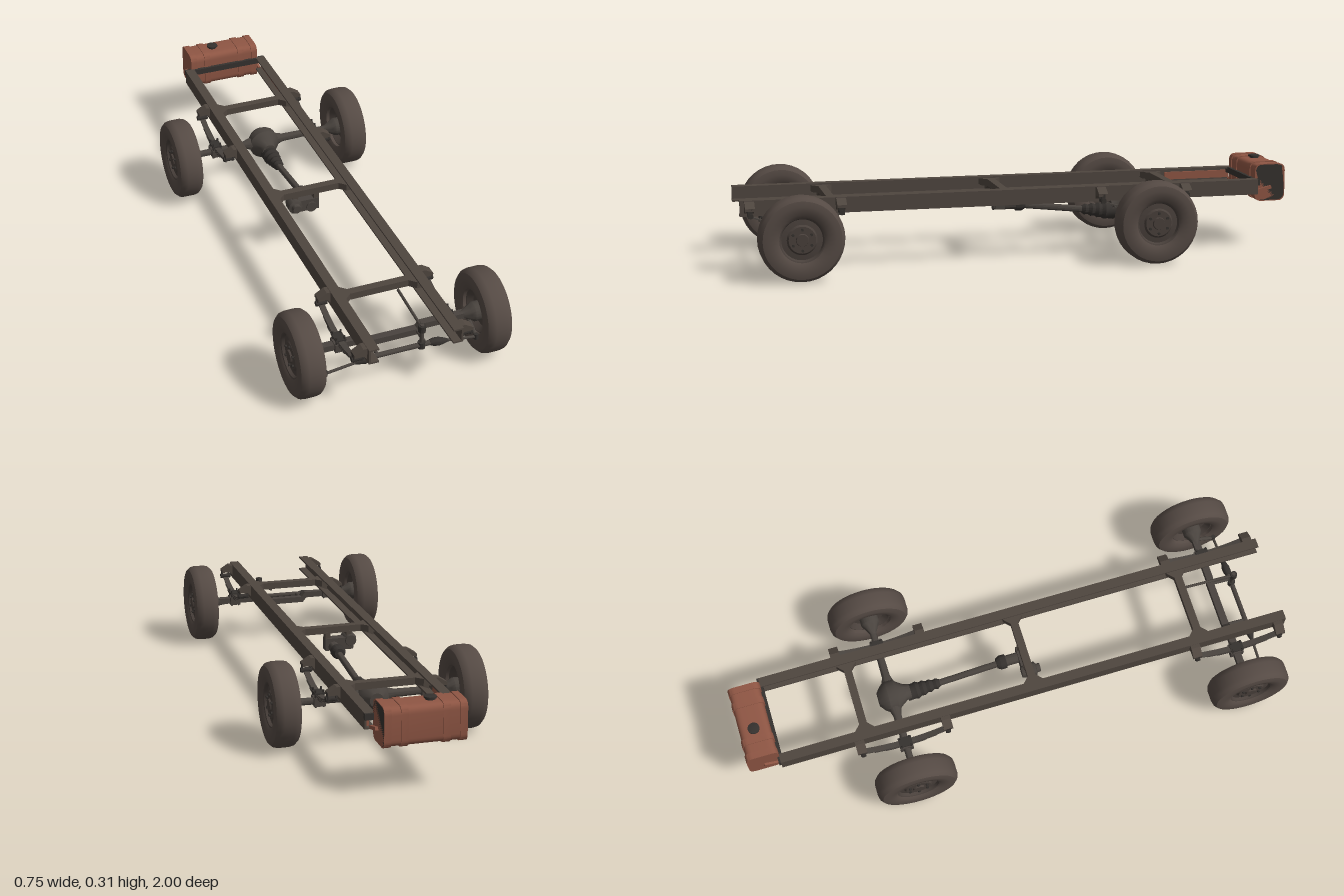
import * as THREE from 'three';
import { toCreasedNormals } from 'three/addons/utils/BufferGeometryUtils.js';

const paint = (name, color) => {
  const m = new THREE.MeshStandardMaterial({ color });
  m.name = name;
  return m;
};
const V = (x, y, z) => new THREE.Vector3(x, y, z);

export function createModel() {
  const model = new THREE.Group();
  model.name = 'truckChassis';
  const steel = paint('frameSteel', 0x4f463f);
  const axleSteel = paint('axleSteel', 0x49433e);
  const rubber = paint('tyreRubber', 0x554a44);
  const rimSteel = paint('rimSteel', 0x49403b);
  const dark = paint('darkSteel', 0x35312e);
  const rust = paint('tankRust', 0x8f5644);

  const add = (name, geo, mat, parent = model) => {
    const mesh = new THREE.Mesh(geo, mat);
    mesh.name = name;
    parent.add(mesh);
    return mesh;
  };
  // box given by its limits
  const box = (name, [x0, x1], [y0, y1], [z0, z1], mat, parent) => {
    const m = add(name, new THREE.BoxGeometry(x1 - x0, y1 - y0, z1 - z0), mat, parent);
    m.position.set((x0 + x1) / 2, (y0 + y1) / 2, (z0 + z1) / 2);
    return m;
  };
  // turned shape along the line a-b; profile is [fraction along, radius]
  const turned = (name, a, b, profile, mat, parent, seg = 16) => {
    const len = a.distanceTo(b);
    const pts = profile.map(([t, r]) => new THREE.Vector2(r, t * len));
    const geo = toCreasedNormals(new THREE.LatheGeometry(pts, seg), 0.6);
    const m = add(name, geo, mat, parent);
    m.position.copy(a);
    m.quaternion.setFromUnitVectors(V(0, 1, 0), b.clone().sub(a).normalize());
    return m;
  };
  const rod = (name, a, b, r, mat, parent, seg = 12) =>
    turned(name, a, b, [[0, 0], [0, r], [1, r], [1, 0]], mat, parent, seg);
  const polygon = (pts) => new THREE.Shape(pts.map(([x, y]) => new THREE.Vector2(x, y)));
  const extrude = (shape, depth) => new THREE.ExtrudeGeometry(shape, { depth, bevelEnabled: false, curveSegments: 5 });

  // channel rails, open towards the middle
  for (const s of [-1, 1]) {
    const rail = new THREE.Group();
    rail.name = s > 0 ? 'leftRail' : 'rightRail';
    model.add(rail);
    const c = [[0.165, 0.2], [0.165, 0.255], [0.13, 0.255], [0.13, 0.249], [0.158, 0.249], [0.158, 0.206], [0.13, 0.206], [0.13, 0.2]];
    add('railChannel', extrude(polygon(c.map(([x, y]) => [s * x, y])), 1.885), steel, rail).position.z = -0.885;
    box('railLiner', s > 0 ? [0.15, 0.158] : [-0.158, -0.15], [0.212, 0.24], [-0.885, -0.63], rust, rail);
  }

  // cross members with flared ends
  for (const z of [0.68, 0.055, -0.57]) {
    const half = [[0.16, 0.036], [0.128, 0.036], [0.105, 0.014]];
    const pts = [...half, ...half.slice().reverse().map(([x, y]) => [-x, y]),
      ...half.map(([x, y]) => [-x, -y]), ...half.slice().reverse().map(([x, y]) => [x, -y])];
    const g = extrude(polygon(pts), 0.025);
    g.rotateX(-Math.PI / 2);
    add('crossMember', g, steel).position.set(0, 0.224, z);
    for (const s of [-1, 1]) {
      const gus = extrude(polygon([[0.155, 0.205], [0.155, 0.226], [0.1, 0.226]].map(([x, y]) => [s * x, y])), 0.028);
      add('crossMemberGusset', gus, steel).position.z = z - 0.014;
    }
  }
  box('rearCrossMember', [-0.165, 0.165], [0.232, 0.254], [-0.892, -0.875], dark);

  // fuel tank: rust shell with dark ends
  const tank = new THREE.Group();
  tank.name = 'fuelTank';
  model.add(tank);
  const tankSection = (grow) => {
    const w = 0.055 + grow, h = 0.066 + grow, r = 0.026, s = new THREE.Shape();
    s.moveTo(-w + r, -h).lineTo(w - r, -h).quadraticCurveTo(w, -h, w, -h + r)
      .lineTo(w, h - r).quadraticCurveTo(w, h, w - r, h)
      .lineTo(-w + r, h).quadraticCurveTo(-w, h, -w, h - r)
      .lineTo(-w, -h + r).quadraticCurveTo(-w, -h, -w + r, -h);
    return s;
  };
  const tankPiece = (name, x0, x1, grow, mats) => {
    const g = toCreasedNormals(extrude(tankSection(grow), x1 - x0).rotateY(Math.PI / 2), 0.6);
    add(name, g, mats, tank).position.set(x0, 0.238, -0.942);
  };
  tankPiece('tankShell', -0.136, 0.136, 0, [dark, rust]);
  for (const x of [-0.128, -0.072, 0.068, 0.124]) tankPiece('tankBand', x - 0.012, x + 0.012, 0.003, [rust, rust]);
  turned('fillerCap', V(-0.033, 0.302, -0.943), V(-0.033, 0.316, -0.943), [[0, 0], [0, 0.017], [0.4, 0.017], [0.5, 0.021], [0.9, 0.021], [1, 0.016], [1, 0]], dark, tank);
  for (const s of [-1, 1]) {
    const strap = box('tankHanger', [s * 0.143 - 0.005, s * 0.143 + 0.005], [0.208, 0.22], [-0.945, -0.88], rust, tank);
    strap.rotation.x = 0.25;
  }

  // wheels
  const tyre = [[0.072, 0.01], [0.078, -0.036], [0.088, -0.043], [0.115, -0.047], [0.134, -0.043], [0.144, -0.032], [0.147, -0.018],
    [0.147, 0.018], [0.144, 0.032], [0.134, 0.043], [0.115, 0.047], [0.088, 0.043], [0.078, 0.036], [0.074, 0.02]];
  const rim = [[0, -0.005], [0.06, -0.005], [0.074, -0.025], [0.078, -0.025], [0.078, 0.036], [0.074, 0.034], [0.07, 0.024], [0.052, 0.026], [0.046, 0.032], [0.022, 0.032], [0.02, 0.038], [0, 0.038]];
  const lathe = (pts, seg) => toCreasedNormals(new THREE.LatheGeometry(pts.map((p) => new THREE.Vector2(...p)), seg), 0.55);
  const tyreGeo = lathe(tyre, 36), rimGeo = lathe(rim, 36), nutGeo = new THREE.CylinderGeometry(0.005, 0.005, 0.008, 6);
  const axleZ = { front: 0.81, rear: -0.442 };
  for (const [end, z] of Object.entries(axleZ)) for (const s of [-1, 1]) {
    const wheel = new THREE.Group();
    wheel.name = end + (s > 0 ? 'LeftWheel' : 'RightWheel');
    wheel.position.set(s * 0.329, 0.149, z);
    wheel.rotation.z = -s * Math.PI / 2;
    model.add(wheel);
    add('tyre', tyreGeo, rubber, wheel);
    add('rim', rimGeo, rimSteel, wheel);
    for (let i = 0; i < 6; i++) {
      const a = i * Math.PI / 3;
      add('wheelNut', nutGeo, dark, wheel).position.set(0.036 * Math.cos(a), 0.034, 0.036 * Math.sin(a));
    }
  }

  // axle hubs, leaf springs and hangers
  for (const [end, z] of Object.entries(axleZ)) for (const s of [-1, 1]) {
    const g = new THREE.Group();
    g.name = end + (s > 0 ? 'LeftSuspension' : 'RightSuspension');
    g.position.z = z;
    model.add(g);
    turned('hub', V(s * 0.24, 0.149, 0), V(s * 0.325, 0.149, 0), [[0, 0], [0, 0.011], [0.15, 0.013], [0.45, 0.026], [0.6, 0.034], [1, 0.034], [1, 0]], axleSteel, g, 20);
    for (let leaf = 0; leaf < 3; leaf++) {
      const L = 0.155 - leaf * 0.04, N = 8, top = [], bottom = [];
      for (let i = 0; i <= N; i++) {
        const t = -L + 2 * L * i / N, y = 0.176 - leaf * 0.006 + 1.25 * t * t;
        top.push([t, y]);
        bottom.unshift([t, y - 0.005]);
      }
      const geo = extrude(polygon([...top, ...bottom]), 0.02).rotateY(-Math.PI / 2);
      add('springLeaf', geo, axleSteel, g).position.x = s * 0.192 + 0.01;
    }
    box('springSeat', [s * 0.192 - 0.02, s * 0.192 + 0.02], [0.134, 0.164], [-0.024, 0.024], axleSteel, g);
    box('springClamp', [s * 0.192 - 0.018, s * 0.192 + 0.018], [0.176, 0.182], [-0.024, 0.024], dark, g);
    for (const dx of [-0.014, 0.014]) for (const dz of [-0.017, 0.017])
      rod('clampBolt', V(s * 0.192 + dx, 0.13, dz), V(s * 0.192 + dx, 0.192, dz), 0.0035, dark, g, 6);
    for (const e of [-1, 1]) {
      const arm = polygon([[0.16, 0.205], [0.16, 0.253], [0.178, 0.253], [0.208, 0.234], [0.208, 0.224], [0.176, 0.224]].map(([x, y]) => [s * x, y]));
      add('springHanger', extrude(arm, 0.034), steel, g).position.z = e * 0.158 - 0.017;
      rod('springEye', V(s * 0.192 - 0.02, 0.208, e * 0.156), V(s * 0.192 + 0.02, 0.208, e * 0.156), 0.009, dark, g);
      for (const dx of [-0.014, 0.014])
        box('shackle', [s * 0.192 + dx - 0.002, s * 0.192 + dx + 0.002], [0.2, 0.232], [e * 0.158 - 0.008, e * 0.158 + 0.008], dark, g);
    }
  }

  // front axle beam with dropped centre
  const beam = polygon([[-0.26, 0.16], [-0.1, 0.16], [-0.085, 0.142], [0.085, 0.142], [0.1, 0.16], [0.26, 0.16],
    [0.26, 0.138], [0.105, 0.138], [0.09, 0.12], [-0.09, 0.12], [-0.105, 0.138], [-0.26, 0.138]]);
  add('frontAxleBeam', extrude(beam, 0.026), axleSteel).position.z = axleZ.front - 0.013;

  // steering linkage
  const sz = 0.888;
  rod('steeringRack', V(-0.12, 0.13, sz), V(0.12, 0.13, sz), 0.009, axleSteel);
  for (const s of [-1, 1]) {
    turned('rackBoot', V(s * 0.1, 0.131, sz), V(s * 0.165, 0.122, sz), [[0, 0], [0, 0.01], [0.2, 0.014], [0.5, 0.015], [0.8, 0.01], [1, 0.006], [1, 0]], dark);
    rod('tieRod', V(s * 0.15, 0.124, sz), V(s * 0.27, 0.107, sz), 0.005, axleSteel);
    rod('tieRodJoint', V(s * 0.27, 0.098, sz), V(s * 0.27, 0.118, sz), 0.008, dark);
    rod('steeringArm', V(s * 0.27, 0.108, sz), V(s * 0.275, 0.13, axleZ.front), 0.007, axleSteel);
    rod('rackBracket', V(s * 0.085, 0.13, sz), V(s * 0.085, 0.135, axleZ.front), 0.006, axleSteel);
  }
  rod('steeringShaft', V(0.07, 0.215, 0.69), V(0.07, 0.2, 0.88), 0.005, axleSteel);
  rod('steeringColumn', V(0.07, 0.12, sz), V(0.07, 0.212, sz), 0.007, axleSteel);
  for (const y of [0.128, 0.195]) rod('steeringJoint', V(0.07, y - 0.01, sz), V(0.07, y + 0.014, sz), 0.013, dark, model, 10);

  // rear axle and differential
  const rz = axleZ.rear;
  turned('rearAxleTube', V(-0.26, 0.149, rz), V(0.26, 0.149, rz), [[0, 0], [0, 0.012], [0.35, 0.015], [0.42, 0.026], [0.58, 0.026], [0.65, 0.015], [1, 0.012], [1, 0]], axleSteel);
  turned('differential', V(0, 0.146, rz - 0.05), V(0, 0.144, rz + 0.07),
    [[0, 0], [0, 0.025], [0.15, 0.047], [0.3, 0.058], [0.55, 0.058], [0.65, 0.046], [0.85, 0.03], [1, 0.027], [1, 0]], axleSteel, model, 20);

  // drive shaft with ribbed boot
  const shaftA = V(0, 0.172, 0.0), shaftB = V(0, 0.13, -0.375);
  rod('driveShaft', shaftA, shaftB, 0.012, axleSteel);
  const rings = [[0, 0], [0, 0.013]];
  for (let i = 0; i < 4; i++) rings.push([0.1 + i * 0.2, 0.02 + i * 0.004], [0.2 + i * 0.2, 0.017 + i * 0.004]);
  turned('shaftBoot', V(0, 0.143, -0.26), V(0, 0.13, -0.385), [...rings, [1, 0.03], [1, 0]], dark);

  // transfer gearbox under the middle cross member
  rod('gearboxOutput', V(0, 0.174, -0.03), V(0, 0.174, 0.075), 0.02, axleSteel);
  turned('shaftFlange', V(0, 0.173, -0.045), V(0, 0.173, -0.01), [[0, 0], [0, 0.018], [0.4, 0.026], [1, 0.026], [1, 0]], dark);
  turned('gearboxInput', V(-0.065, 0.193, 0.03), V(-0.065, 0.193, 0.1), [[0, 0], [0, 0.02], [0.3, 0.026], [0.75, 0.026], [0.8, 0.017], [1, 0.015], [1, 0]], axleSteel);
  box('gearboxCase', [-0.075, 0.03], [0.16, 0.205], [0.035, 0.07], axleSteel);
  for (const x of [-0.06, 0.02]) box('gearboxMount', [x - 0.01, x + 0.01], [0.195, 0.228], [0.04, 0.068], steel);

  return model;
}
